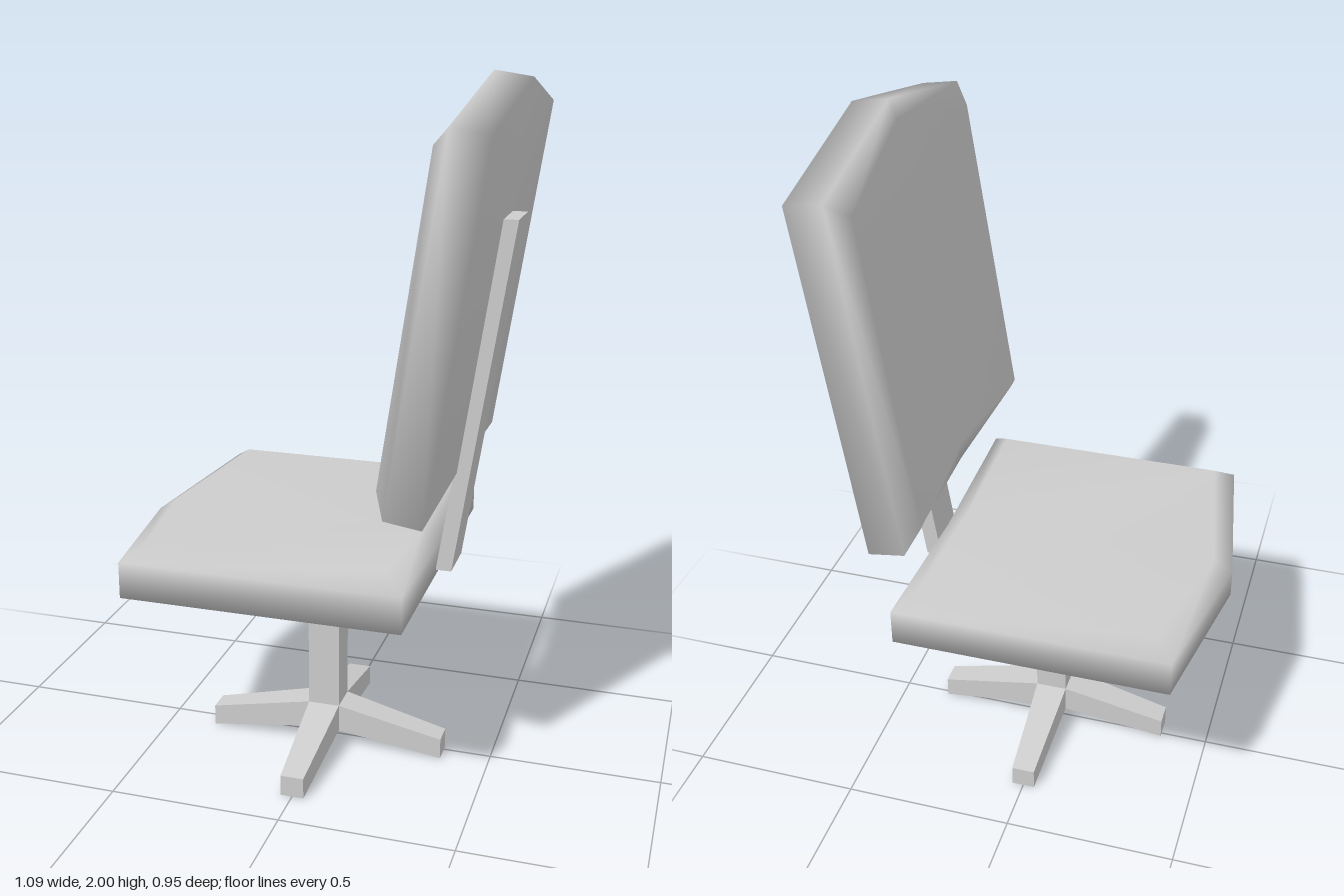
import * as THREE from 'three';

const grey = new THREE.MeshStandardMaterial({ color: 0xcccccc });
grey.name = 'grey';

function addMesh(parent, geometry, name) {
  const mesh = new THREE.Mesh(geometry, grey);
  mesh.name = name;
  parent.add(mesh);
  return mesh;
}

// Pointed cushion: local x runs towards the point, y is thickness, z is width.
function cushionGeometry({ corner, apex, notch, midHeight }) {
  const ring = (inset, half, cornerY, midY) => [
    [notch + inset, midY, 0], [inset, cornerY, half], [corner - inset, cornerY, half],
    [apex - inset, midY, 0], [corner - inset, cornerY, -half], [inset, cornerY, -half],
  ];
  const points = [
    ...ring(0, 0.475, 0, 0),
    ...ring(0, 0.475, 0.105, midHeight),
    ...ring(0.055, 0.42, 0.145, 0.117),
  ];
  const index = [];
  for (let r = 0; r < 12; r += 6) {
    for (let i = 0; i < 6; i++) {
      const a = r + i, b = r + (i + 1) % 6;
      index.push(a, b, b + 6, a, b + 6, a + 6);
    }
  }
  // caps, creased along the centre line
  for (const [a, b, c] of [[0, 1, 2], [0, 2, 3], [0, 3, 4], [0, 4, 5]]) {
    index.push(12 + a, 12 + b, 12 + c, c, b, a);
  }
  const g = new THREE.BufferGeometry();
  g.setAttribute('position', new THREE.Float32BufferAttribute(points.flat(), 3));
  g.setIndex(index);
  g.computeVertexNormals();
  return g;
}

// Place a cushion with its point along "dir" and its padded face along "up".
function placeCushion(geometry, dir, up, origin) {
  const m = new THREE.Matrix4().makeBasis(dir, up, dir.clone().cross(up));
  m.setPosition(...origin);
  return geometry.applyMatrix4(m);
}

// Box whose unit-cube corners are moved by a rule; faces stay flat.
function shapedBox(rule) {
  const g = new THREE.BoxGeometry(1, 1, 1);
  const p = g.attributes.position;
  for (let i = 0; i < p.count; i++) {
    p.setXYZ(i, ...rule(p.getX(i) * 2, p.getY(i) * 2, p.getZ(i) * 2));
  }
  g.computeVertexNormals();
  return g;
}

export function createModel() {
  const chair = new THREE.Group();
  chair.name = 'officeChair';

  // seat, facing -x
  addMesh(chair, placeCushion(
    cushionGeometry({ corner: 0.795, apex: 0.875, notch: 0, midHeight: 0.08 }),
    new THREE.Vector3(-1, 0, 0), new THREE.Vector3(0, 1, 0), [0.335, 0.6, 0]), 'seat');

  // leaning backrest
  const lean = new THREE.Vector3(0.146, 0.9893, 0);
  addMesh(chair, placeCushion(
    cushionGeometry({ corner: 1.0, apex: 1.1, notch: 0.02, midHeight: 0.105 }),
    lean, new THREE.Vector3(-0.9893, 0.146, 0), [0.385, 0.895, 0]), 'backrest');

  // bar behind the backrest
  addMesh(chair, shapedBox((x, y, z) =>
    [0.434 + y * 0.077 + x * 0.0225, 1.12 + y * 0.505, z * 0.07]), 'backSupport');

  // swivel base, set slightly forward in z
  const base = new THREE.Group();
  base.name = 'base';
  base.position.z = 0.02;
  chair.add(base);
  addMesh(base, new THREE.BoxGeometry(0.42, 0.025, 0.42).translate(0, 0.588, 0), 'mountPlate');
  addMesh(base, shapedBox((x, y, z) => {
    const half = y > 0 ? 0.21 : 0.047;
    return [x * half, y > 0 ? 0.5755 : 0.533, z * half];
  }), 'mountTaper');
  addMesh(base, new THREE.BoxGeometry(0.094, 0.485, 0.094).translate(0, 0.2925, 0), 'column');

  // four tapered feet
  for (let i = 0; i < 4; i++) {
    const leg = addMesh(base, shapedBox((x, y, z) => x > 0
      ? [0.358, y > 0 ? 0.062 : 0, z * 0.034]
      : [0.045, y > 0 ? 0.133 : 0.05, z * 0.047]), 'leg' + (i + 1));
    leg.rotation.y = i * Math.PI / 2;
  }
  return chair;
}
